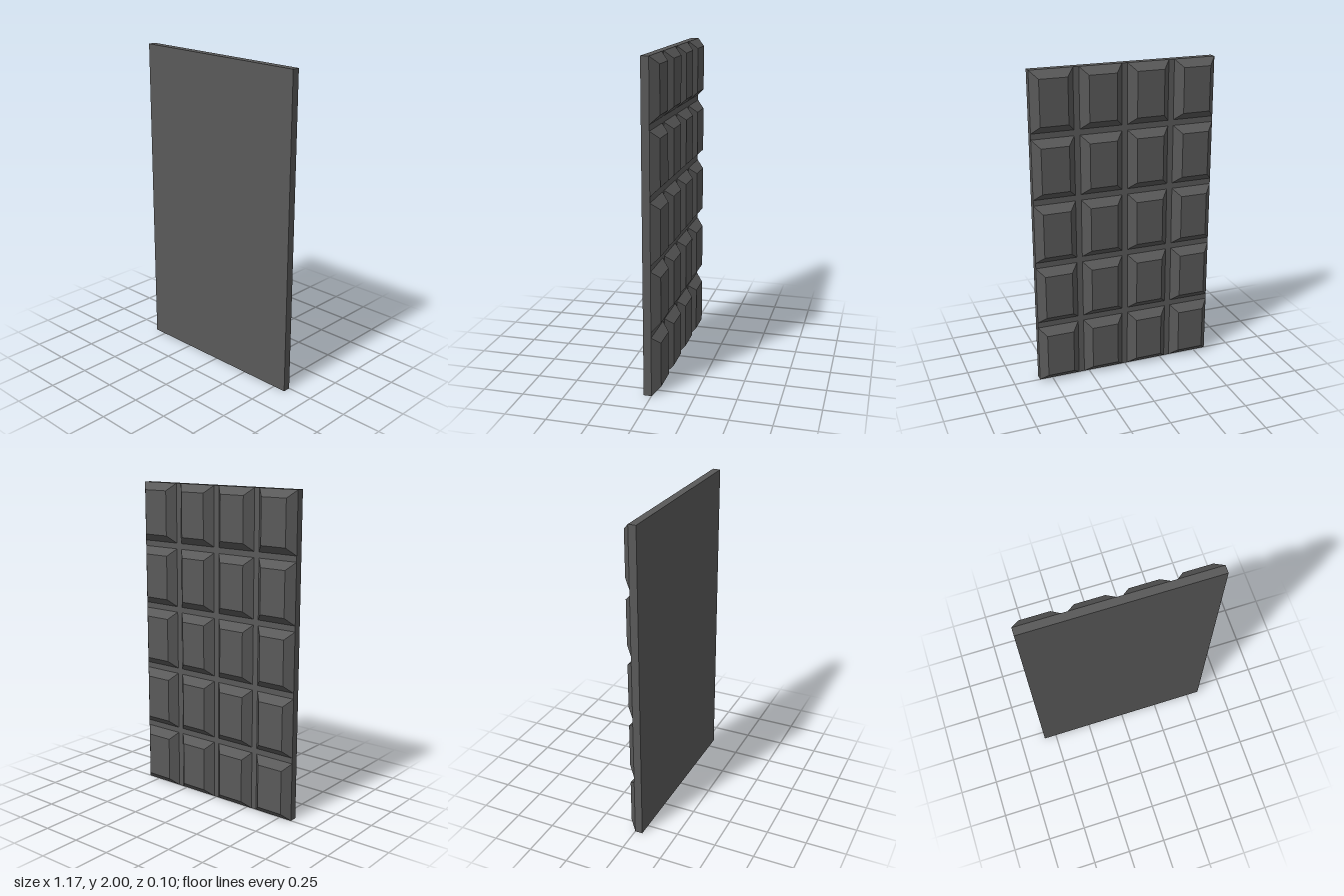
import * as THREE from 'three';

const WIDTH = 1.166, HEIGHT = 2, DEPTH = 0.048;
const COLS = 4, ROWS = 5, GAP = 0.036, BEVEL = 0.046;

// Box whose back face is drawn in on all sides, giving sloped edges
function segmentGeometry(w, h) {
  const geometry = new THREE.BoxGeometry(w, h, DEPTH);
  const p = geometry.attributes.position;
  for (let i = 0; i < p.count; i++) {
    if (p.getZ(i) < 0) {
      p.setX(i, Math.sign(p.getX(i)) * (w / 2 - BEVEL));
      p.setY(i, Math.sign(p.getY(i)) * (h / 2 - BEVEL));
    }
  }
  geometry.computeVertexNormals();
  return geometry;
}

export function createModel() {
  const model = new THREE.Group();
  model.name = 'segmentedBar';
  const darkGrey = new THREE.MeshStandardMaterial({ color: 0x595959, flatShading: true });
  darkGrey.name = 'darkGrey';

  // Flat slab at the front
  const slab = new THREE.Mesh(new THREE.BoxGeometry(WIDTH, HEIGHT, DEPTH), darkGrey);
  slab.name = 'slab';
  slab.position.set(0, HEIGHT / 2, DEPTH / 2);
  model.add(slab);

  // Grid of bevelled segments on the back
  const w = (WIDTH - GAP * (COLS - 1)) / COLS;
  const h = (HEIGHT - GAP * (ROWS - 1)) / ROWS;
  const geometry = segmentGeometry(w, h);
  const segments = new THREE.Group();
  segments.name = 'segments';
  for (let row = 0; row < ROWS; row++) {
    for (let col = 0; col < COLS; col++) {
      const segment = new THREE.Mesh(geometry, darkGrey);
      segment.name = `segment_${row + 1}_${col + 1}`;
      segment.position.set(
        -WIDTH / 2 + w / 2 + col * (w + GAP),
        h / 2 + row * (h + GAP),
        -DEPTH / 2
      );
      segments.add(segment);
    }
  }
  model.add(segments);
  return model;
}
